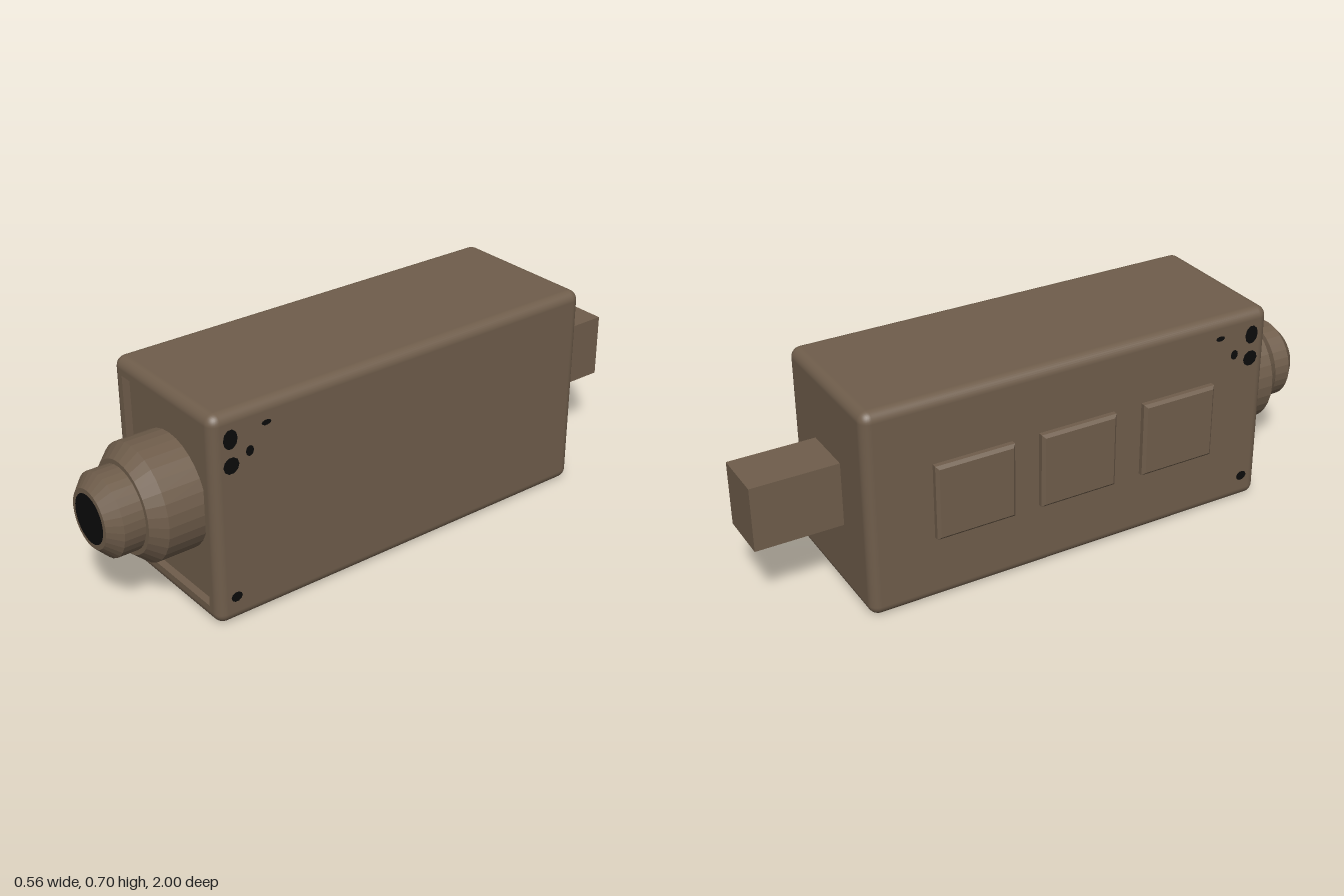
import * as THREE from 'three';
import { RoundedBoxGeometry } from 'three/addons/geometries/RoundedBoxGeometry.js';

const CX = 0.011, CY = 0.352;          // axis of the body and lens
const W = 0.532, H = 0.704, L = 1.45, R = 0.034;
const FRONT = 0.74, RECESS = 0.025;

function rectangle(Type, w, h) {
  const s = new Type();
  s.moveTo(-w / 2, -h / 2);
  s.lineTo(w / 2, -h / 2);
  s.lineTo(w / 2, h / 2);
  s.lineTo(-w / 2, h / 2);
  s.closePath();
  return s;
}

// rounded box without its flat front, which the frame replaces
function openFrontBox() {
  const box = new RoundedBoxGeometry(W, H, L, 4, R);
  const geo = box.index ? box.toNonIndexed() : box;
  const p = geo.attributes.position, n = geo.attributes.normal;
  const pos = [], nor = [];
  for (let i = 0; i < p.count; i += 3) {
    const flat = [0, 1, 2].every(k => p.getZ(i + k) > L / 2 - 1e-4);
    if (flat) continue;
    for (let k = i; k < i + 3; k++) {
      pos.push(p.getX(k), p.getY(k), p.getZ(k));
      nor.push(n.getX(k), n.getY(k), n.getZ(k));
    }
  }
  const out = new THREE.BufferGeometry();
  out.setAttribute('position', new THREE.Float32BufferAttribute(pos, 3));
  out.setAttribute('normal', new THREE.Float32BufferAttribute(nor, 3));
  return out;
}

export function createModel() {
  const group = new THREE.Group();
  const brown = new THREE.MeshStandardMaterial({ color: 0x6f5d4b });
  brown.name = 'brown casing';
  const black = new THREE.MeshStandardMaterial({ color: 0x0b0b0b });
  black.name = 'black glass';

  function add(name, geometry, material, x, y, z) {
    const mesh = new THREE.Mesh(geometry, material);
    mesh.name = name;
    mesh.position.set(x, y, z);
    group.add(mesh);
    return mesh;
  }

  // casing with a recessed front panel
  add('body', openFrontBox(), brown, CX, CY, FRONT - L / 2);
  const frame = rectangle(THREE.Shape, W - 2 * R, H - 2 * R);
  frame.holes.push(rectangle(THREE.Path, 0.43, 0.598));
  add('frontFrame', new THREE.ExtrudeGeometry(frame, { depth: RECESS, bevelEnabled: false }),
    brown, CX, CY, FRONT - RECESS);
  add('frontPanel', new THREE.PlaneGeometry(0.43, 0.598), brown, CX, CY, FRONT - RECESS);

  // stepped, faceted lens barrel; the profile runs from back to front
  const profile = [
    [0.19, 0.70], [0.19, 0.845], [0.15, 0.89], [0.135, 0.89],
    [0.135, 0.96], [0.095, 0.999], [0, 0.999],
  ].map(([r, z]) => new THREE.Vector2(r, z));
  const barrel = new THREE.LatheGeometry(profile, 32).toNonIndexed();
  barrel.computeVertexNormals();
  barrel.rotateX(Math.PI / 2);
  add('lensBarrel', barrel, brown, CX, CY, 0);
  add('lensGlass', new THREE.CircleGeometry(0.08, 32), black, CX, CY, 1);

  // connector at the back
  add('rearConnector', new THREE.BoxGeometry(0.18, 0.218, 0.32), brown, CX, 0.354, -0.84);

  // three bevelled plates on the model's right side
  const plate = new THREE.ExtrudeGeometry(rectangle(THREE.Shape, 0.252, 0.238), {
    depth: 0.03, bevelEnabled: true, bevelSegments: 1, bevelThickness: 0.009, bevelSize: 0.01,
  });
  plate.rotateY(-Math.PI / 2);
  for (const z of [-0.354, 0.012, 0.388]) add('sidePlate', plate, brown, -0.241, 0.354, z);

  // small dark marks near the front of both sides: z, y, width, height
  const spots = [
    [0.675, 0.62, 0.05, 0.065], [0.675, 0.535, 0.055, 0.055], [0.61, 0.563, 0.028, 0.035],
    [0.55, 0.635, 0.034, 0.018], [0.675, 0.087, 0.04, 0.034],
  ];
  for (const side of [1, -1]) {
    for (const [z, y, w, h] of spots) {
      const spot = add('sideMark', new THREE.CircleGeometry(0.5, 10), black,
        CX + side * (W / 2 + 0.001), y, z);
      spot.scale.set(w, h, 1);
      spot.rotation.y = side * Math.PI / 2;
    }
  }
  return group;
}
